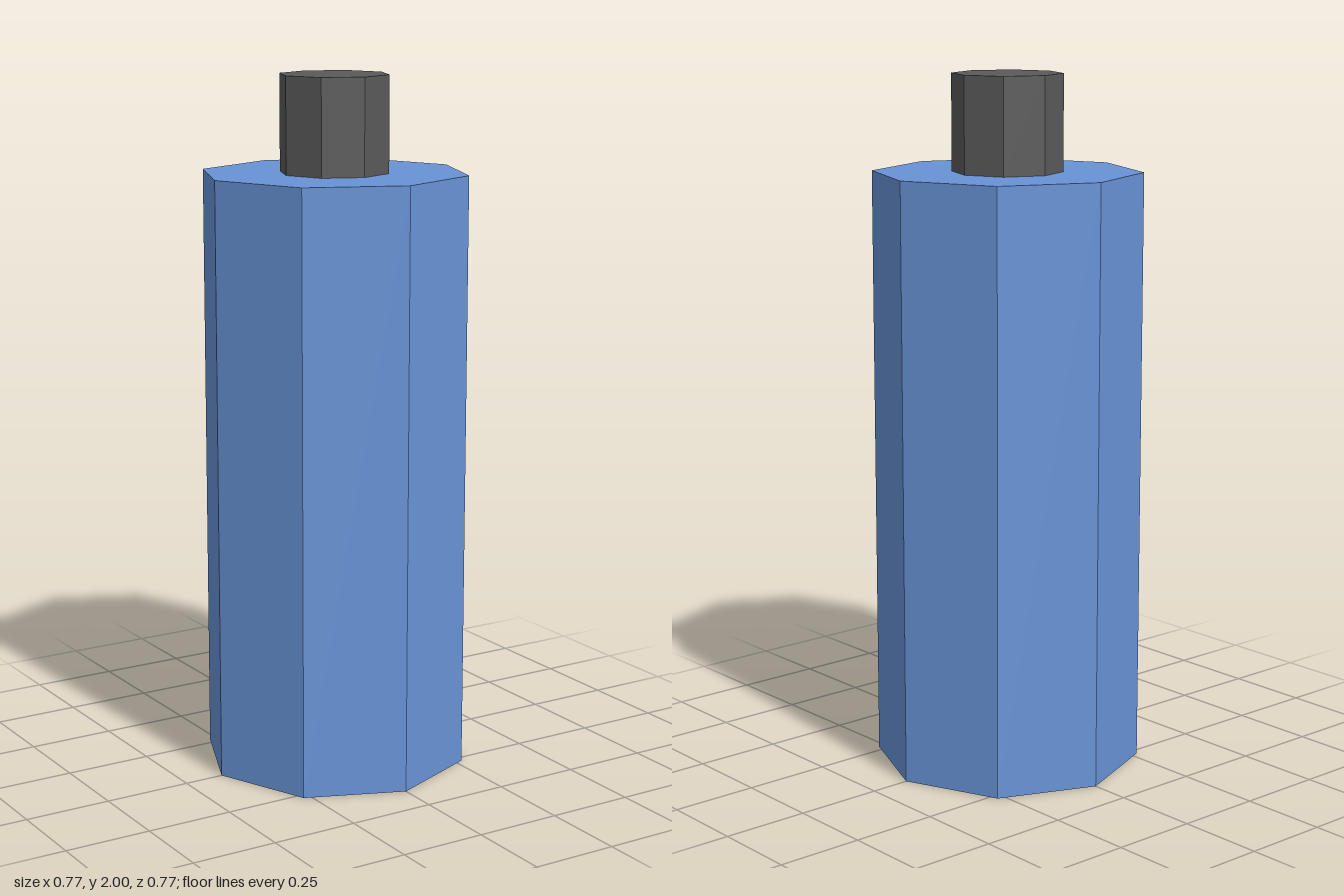
import * as THREE from 'three';

const SIDES = 8;

function material(name, color) {
  const m = new THREE.MeshStandardMaterial({ color, flatShading: true });
  m.name = name;
  return m;
}

// Upright octagonal prism, with corners on the x and z axes
function prism(name, radius, bottom, top, mat) {
  const height = top - bottom;
  const mesh = new THREE.Mesh(new THREE.CylinderGeometry(radius, radius, height, SIDES), mat);
  mesh.name = name;
  mesh.position.y = bottom + height / 2;
  return mesh;
}

export function createModel() {
  const model = new THREE.Group();
  model.name = 'bottle';

  const blue = material('blue', 0x6893d6);
  const darkGrey = material('dark grey', 0x5a5a5a);

  // Wide body with a narrow cap standing on it
  model.add(prism('body', 0.385, 0, 1.725, blue));
  model.add(prism('cap', 0.158, 1.725, 2, darkGrey));

  return model;
}
